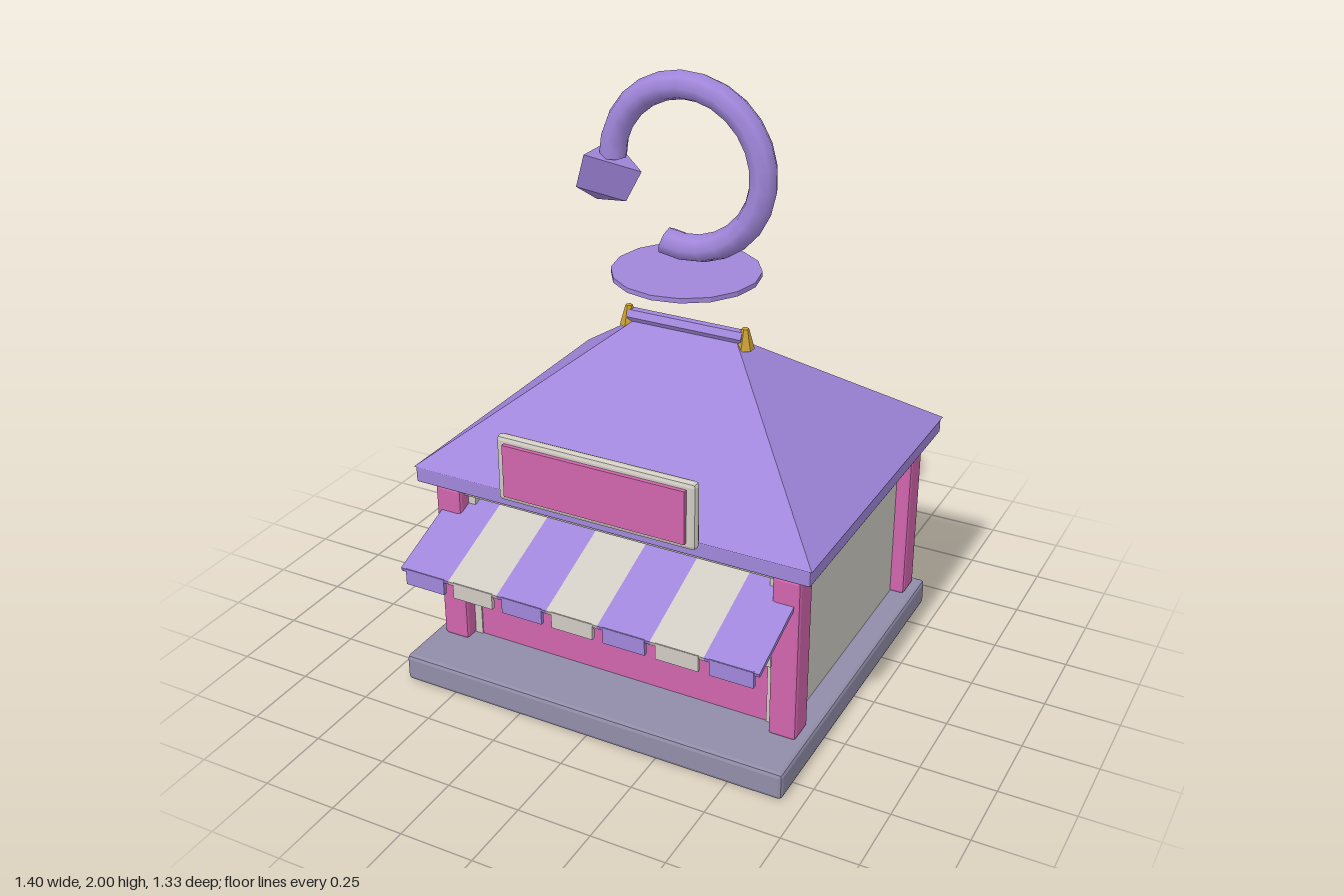
import * as THREE from 'three';
import { RoundedBoxGeometry } from 'three/addons/geometries/RoundedBoxGeometry.js';

const material = (name, color) => {
  const m = new THREE.MeshStandardMaterial({ color });
  m.name = name;
  return m;
};

export function createModel() {
  const model = new THREE.Group();
  model.name = 'marketStall';
  const purple = material('purple', 0xa086da);
  const cream = material('cream', 0xd0ccc3);
  const pink = material('pink', 0xd166ad);
  const gold = material('gold', 0xc9a136);
  const stone = material('stone', 0x918da9);
  const midZ = -0.1;

  const add = (name, geometry, mat, x = 0, y = 0, z = 0, parent = model) => {
    const mesh = new THREE.Mesh(geometry, mat);
    mesh.name = name;
    mesh.position.set(x, y, z);
    parent.add(mesh);
    return mesh;
  };
  const flat = (geometry) => {
    const g = geometry.index ? geometry.toNonIndexed() : geometry;
    g.computeVertexNormals();
    return g;
  };
  // Box given by its limits on each axis, chamfered when bevel > 0
  const block = (name, mat, [x0, x1], [y0, y1], [z0, z1], bevel = 0, parent = model) => {
    const size = [x1 - x0, y1 - y0, z1 - z0];
    const geometry = bevel
      ? flat(new RoundedBoxGeometry(...size, 1, bevel))
      : new THREE.BoxGeometry(...size);
    return add(name, geometry, mat, (x0 + x1) / 2, (y0 + y1) / 2, (z0 + z1) / 2, parent);
  };

  // Plinth, walls and the beam around their top
  block('plinth', stone, [-0.685, 0.685], [0, 0.095], [-0.645, 0.6], 0.014);
  block('walls', cream, [-0.6, 0.6], [0.09, 0.66], [-0.57, 0.35]);
  block('topBeam', cream, [-0.628, 0.628], [0.632, 0.688], [-0.598, 0.395], 0.01);

  // Corner posts
  for (const x of [-0.603, 0.603]) {
    for (const z of [-0.568, 0.375]) {
      block('cornerPost', pink, [x - 0.047, x + 0.047], [0.09, 0.668], [z - 0.049, z + 0.049], 0.012);
    }
  }

  // Shop front: jambs, pink panel, counter and goods
  for (const s of [-1, 1]) {
    block('jamb', cream, [s * 0.543 - 0.014, s * 0.543 + 0.014], [0.095, 0.635], [0.34, 0.375]);
  }
  block('counterPanel', pink, [-0.53, 0.53], [0.095, 0.328], [0.34, 0.37]);
  block('counterTop', cream, [-0.555, 0.555], [0.325, 0.365], [0.33, 0.41], 0.006);
  [purple, gold, gold, gold, pink].forEach((mat, i) => {
    const x = (i - 2) * 0.202;
    block('goods', mat, [x - 0.054, x + 0.054], [0.365, 0.438], [0.32, 0.405], 0.012);
  });

  // Striped awning with hanging tabs
  const awning = new THREE.Group();
  awning.name = 'awning';
  model.add(awning);
  const slope = new THREE.Vector2(0.32, -0.124);
  for (let i = 0; i < 7; i++) {
    const mat = i % 2 ? cream : purple;
    const x = (i - 3) * 0.18;
    const stripe = add('awningStripe', new THREE.BoxGeometry(0.18, 0.015, slope.length()), mat,
      x, 0.541, 0.5, awning);
    stripe.rotation.x = Math.atan2(-slope.y, slope.x);
    block('awningTab', mat, [x - 0.072, x + 0.072], [0.43, 0.488], [0.648, 0.662], 0, awning);
  }

  // Eave slab and hipped roof, made from a box whose top closes to a ridge
  block('eave', purple, [-0.695, 0.695], [0.685, 0.742], [-0.66, 0.462], 0.006);
  const hip = new THREE.BoxGeometry(1.4, 0.415, 1.13);
  const pos = hip.attributes.position;
  for (let i = 0; i < pos.count; i++) {
    if (pos.getY(i) > 0) pos.setXYZ(i, Math.sign(pos.getX(i)) * 0.175, pos.getY(i), 0);
  }
  add('roof', flat(hip), purple, 0, 0.74 + 0.2075, midZ);

  // Ridge bar with gold ends
  const ridge = add('ridgeBar', flat(new THREE.CylinderGeometry(0.025, 0.025, 0.41, 6)), purple, 0, 1.16, midZ);
  ridge.rotation.z = Math.PI / 2;
  for (const s of [-1, 1]) {
    add('ridgeEnd', flat(new THREE.CylinderGeometry(0.012, 0.031, 0.07, 6)), gold, s * 0.21, 1.158, midZ);
  }

  // Sign board above the awning
  block('signBoard', cream, [-0.345, 0.345], [0.735, 0.962], [0.477, 0.513], 0.014);
  block('signPanel', pink, [-0.315, 0.315], [0.76, 0.94], [0.505, 0.527]);

  // Floating disc
  add('disc', flat(new THREE.CylinderGeometry(0.242, 0.242, 0.016, 16)), purple, 0, 1.348, midZ);

  // Curled arrow: open ring and three-sided head
  const start = -1.86;
  const ring = add('arrowRing', new THREE.TorusGeometry(0.262, 0.046, 8, 20, Math.PI - start), purple, 0, 1.693, midZ);
  ring.rotation.z = start;
  const cap = add('arrowRingEnd', new THREE.CircleGeometry(0.046, 8), purple,
    Math.cos(start) * 0.262, 1.693 + Math.sin(start) * 0.262, midZ);
  cap.rotation.y = Math.PI / 2;
  cap.rotation.order = 'ZYX';
  cap.rotation.z = start - Math.PI / 2;
  const headProfile = [[0, -0.168], [0.096, -0.12], [0.11, 0], [0, 0]].map((p) => new THREE.Vector2(...p));
  const head = add('arrowHead', flat(new THREE.LatheGeometry(headProfile, 3, Math.PI / 2)), purple,
    -0.262, 1.695, midZ);
  head.rotation.z = -0.375;

  return model;
}
